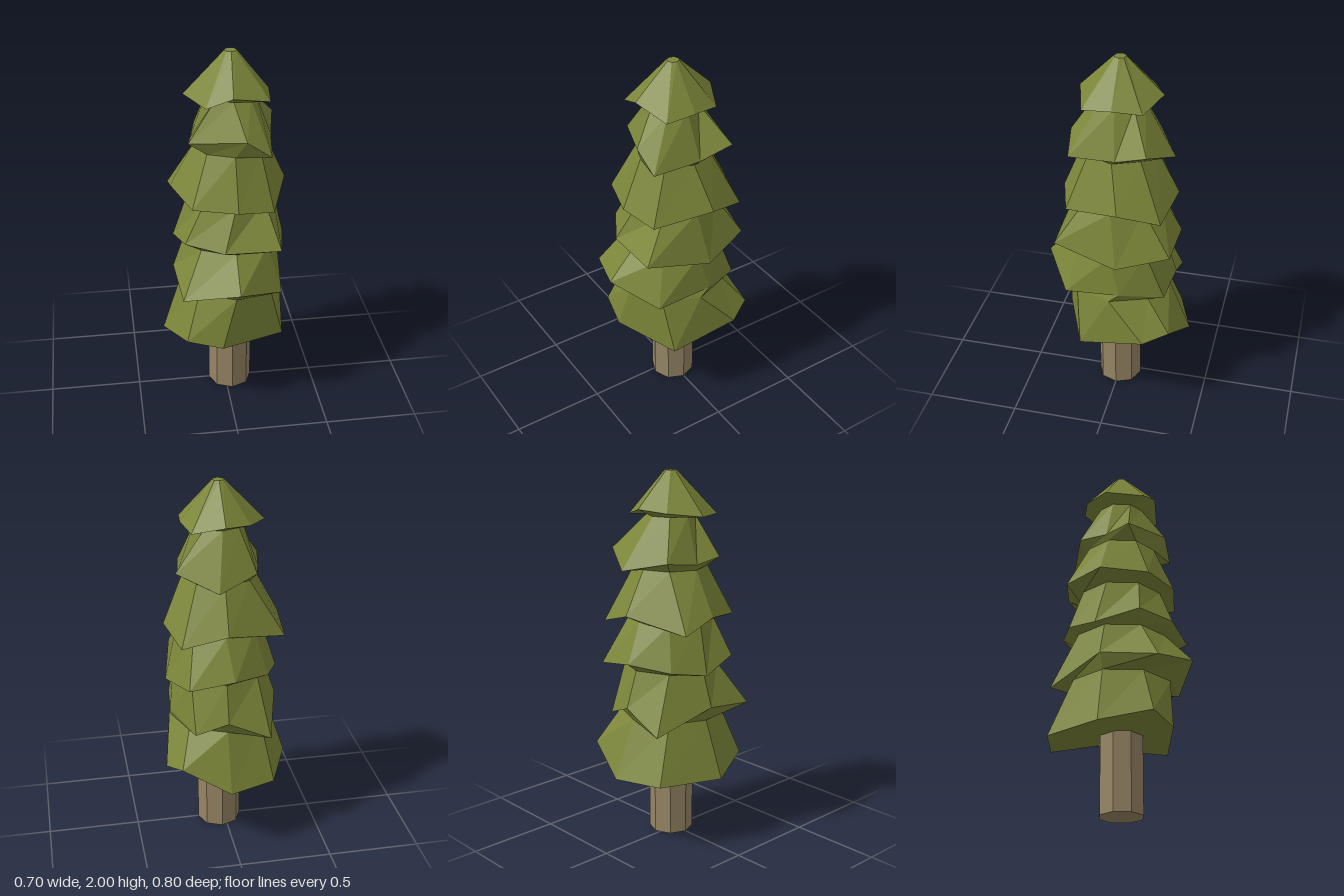
import * as THREE from 'three';

const SIDES = 8;
const AXIS_X = 0.028;

const leafMat = new THREE.MeshStandardMaterial({ color: 0x7c8639, flatShading: true });
const barkMat = new THREE.MeshStandardMaterial({ color: 0x968564, flatShading: true });

// Narrow level rings between the tiers, bottom to top: [y, radius]
const waists = [[0.42, 0.1], [0.7, 0.275], [0.965, 0.25], [1.225, 0.225], [1.5, 0.195], [1.77, 0.128], [2, 0.032]];

// Ragged rim of each tier, bottom to top: x, y, z going front, front-left, left, ... round the tree
const rims = [
  [-0.05, 0.415, 0.31, 0.3, 0.39, 0.165, 0.35, 0.48, -0.195, 0.28, 0.52, -0.325,
    0.03, 0.39, -0.4, -0.22, 0.39, -0.31, -0.35, 0.39, 0.015, -0.24, 0.45, 0.27],
  [0.03, 0.8, 0.4, 0.274, 0.71, 0.245, 0.305, 0.75, -0.055, 0.2, 0.7, -0.28,
    0.03, 0.77, -0.315, -0.2, 0.66, -0.31, -0.285, 0.78, 0, -0.26, 0.735, 0.305],
  [-0.04, 1.01, 0.315, 0.258, 1, 0.305, 0.325, 0.93, -0.04, 0.235, 0.98, -0.31,
    0, 1.02, -0.33, -0.2, 0.99, -0.21, -0.28, 0.96, -0.03, -0.235, 1.02, 0.2],
  [0.03, 1.235, 0.305, 0.225, 1.2, 0.245, 0.33, 1.26, -0.05, 0.265, 1.2, -0.265,
    0.03, 1.27, -0.315, -0.29, 1.2, -0.19, -0.29, 1.27, 0, -0.2, 1.24, 0.24],
  [0.08, 1.6, 0.245, 0.21, 1.505, 0.23, 0.245, 1.525, -0.02, 0.28, 1.585, -0.19,
    0.075, 1.5, -0.3, -0.14, 1.55, -0.18, -0.18, 1.53, -0.01, -0.205, 1.56, 0.13],
  [0.015, 1.82, 0.21, 0.21, 1.775, 0.155, 0.225, 1.79, 0, 0.19, 1.77, -0.15,
    0.03, 1.815, -0.225, -0.11, 1.8, -0.155, -0.215, 1.78, 0, -0.12, 1.77, 0.195],
];

function waistRing([y, r]) {
  return Array.from({ length: SIDES }, (_, i) => {
    const a = (i / SIDES) * Math.PI * 2;
    return [AXIS_X + r * Math.sin(a), y, r * Math.cos(a)];
  });
}

function rimRing(flat) {
  return Array.from({ length: SIDES }, (_, i) => flat.slice(i * 3, i * 3 + 3));
}

// Joins stacked rings with faceted bands and closes the top
function skin(rings) {
  const pos = [];
  for (let k = 0; k < rings.length - 1; k++) {
    const lo = rings[k], hi = rings[k + 1];
    for (let i = 0; i < SIDES; i++) {
      const j = (i + 1) % SIDES;
      pos.push(...lo[i], ...lo[j], ...hi[j], ...lo[i], ...hi[j], ...hi[i]);
    }
  }
  const top = rings[rings.length - 1];
  for (let i = 1; i < SIDES - 1; i++) pos.push(...top[0], ...top[i], ...top[i + 1]);
  const geo = new THREE.BufferGeometry();
  geo.setAttribute('position', new THREE.Float32BufferAttribute(pos, 3));
  geo.computeVertexNormals();
  return geo;
}

export function createModel() {
  const group = new THREE.Group();
  group.name = 'pineTree';

  // Trunk
  const trunk = new THREE.Mesh(new THREE.CylinderGeometry(0.12, 0.12, 0.5, SIDES), barkMat);
  trunk.position.set(AXIS_X, 0.25, 0);
  trunk.name = 'trunk';
  group.add(trunk);

  // Foliage tiers: underside, rim and sloping skirt
  rims.forEach((rim, i) => {
    const tier = new THREE.Mesh(skin([waistRing(waists[i]), rimRing(rim), waistRing(waists[i + 1])]), leafMat);
    tier.name = `foliageTier${i + 1}`;
    group.add(tier);
  });

  return group;
}
